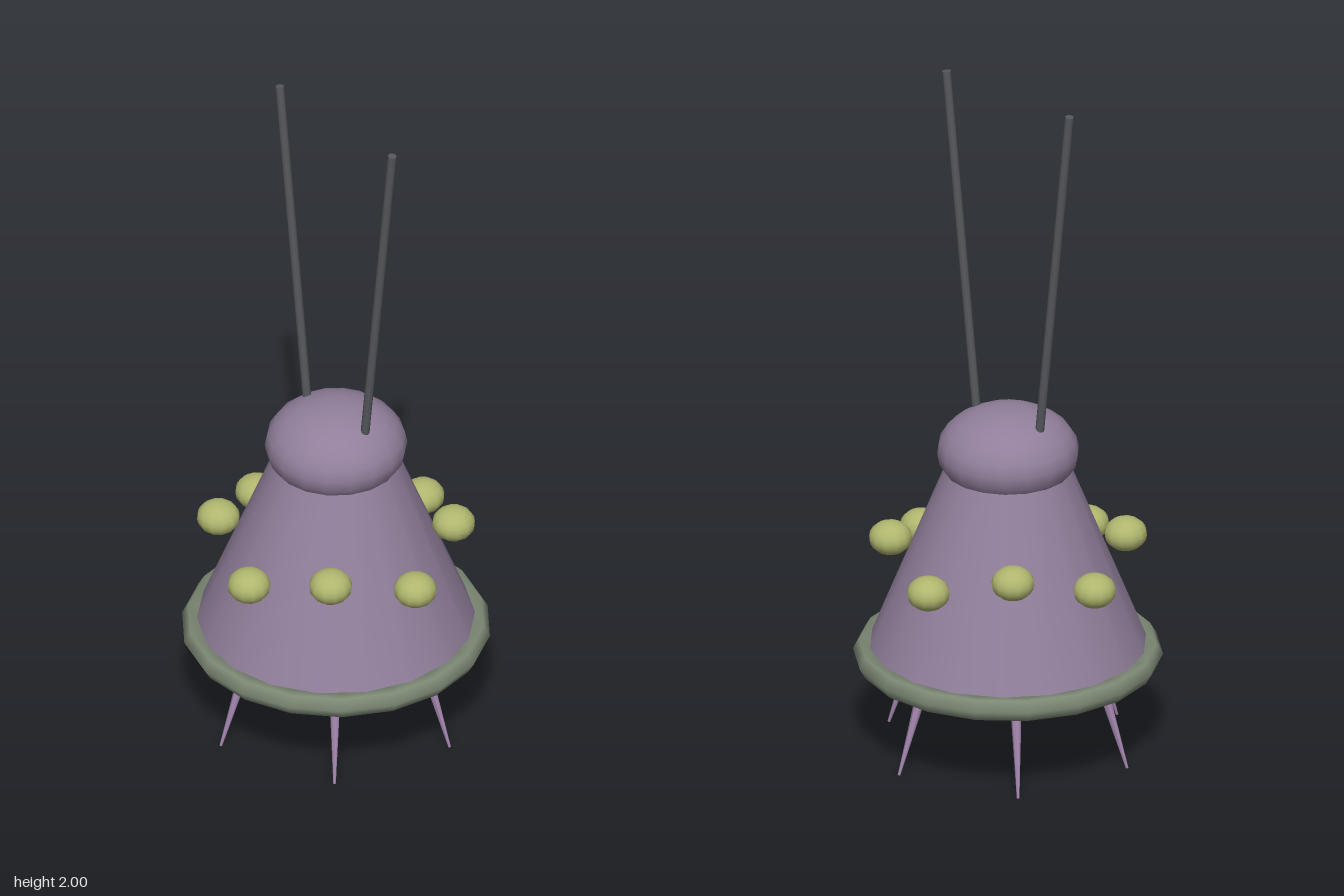
import * as THREE from 'three';

const paint = (color) => new THREE.MeshStandardMaterial({ color });

export function createModel() {
  const model = new THREE.Group();
  const purple = paint(0x917f9b);
  const green = paint(0x7c8874);
  const yellow = paint(0xb0b66e);
  const grey = paint(0x55585c);
  const pink = paint(0xa587b0);

  function add(name, geometry, material, x = 0, y = 0, z = 0) {
    const mesh = new THREE.Mesh(geometry, material);
    mesh.name = name;
    mesh.position.set(x, y, z);
    model.add(mesh);
    return mesh;
  }

  // Tapered rod running from one point to another
  function rod(name, from, to, rFrom, rTo, sides, material) {
    const dir = to.clone().sub(from);
    const mid = from.clone().add(to).multiplyScalar(0.5);
    const mesh = add(name, new THREE.CylinderGeometry(rTo, rFrom, dir.length(), sides), material, mid.x, mid.y, mid.z);
    mesh.quaternion.setFromUnitVectors(new THREE.Vector3(0, 1, 0), dir.normalize());
  }

  // Conical body, closed underneath
  add('body', new THREE.CylinderGeometry(0.17, 0.406, 0.59, 18), purple, 0, 0.575, 0);

  // Flattened head sunk into the top of the body
  const head = add('head', new THREE.SphereGeometry(0.2, 18, 12), purple, 0, 0.905, 0);
  head.scale.y = 0.65;
  head.rotation.y = Math.PI / 2;

  // Rim around the foot of the body
  const rim = add('rim', new THREE.TorusGeometry(0.4, 0.035, 6, 18), green, 0, 0.29, 0);
  rim.rotation.x = Math.PI / 2;

  // Shallow dome on the underside
  add('undersideDome', new THREE.SphereGeometry(0.215, 18, 12), yellow, 0, 0.29, 0).scale.y = 0.235;

  // Ring of eight bulbs at alternating heights
  for (let i = 0; i < 8; i++) {
    const a = (i * Math.PI) / 4;
    const y = i % 2 ? 0.645 : 0.575;
    const bulb = add('bulb', new THREE.SphereGeometry(0.061, 12, 10), yellow, 0.33 * Math.cos(a), y, 0.33 * Math.sin(a));
    bulb.scale.y = 0.8;
  }

  // Two antennae leaning outward
  for (const s of [-1, 1]) {
    rod('antenna', new THREE.Vector3(s * 0.12, 0.995, 0), new THREE.Vector3(s * 0.234, 1.999, 0), 0.0125, 0.0125, 8, grey);
  }

  // Six thin legs splayed outward to points
  for (let i = 0; i < 6; i++) {
    const a = THREE.MathUtils.degToRad(43 + i * 60);
    const at = (r, y) => new THREE.Vector3(r * Math.cos(a), y, r * Math.sin(a));
    rod('leg', at(0.37, 0.002), at(0.272, 0.3), 0.004, 0.019, 6, pink);
  }

  return model;
}
